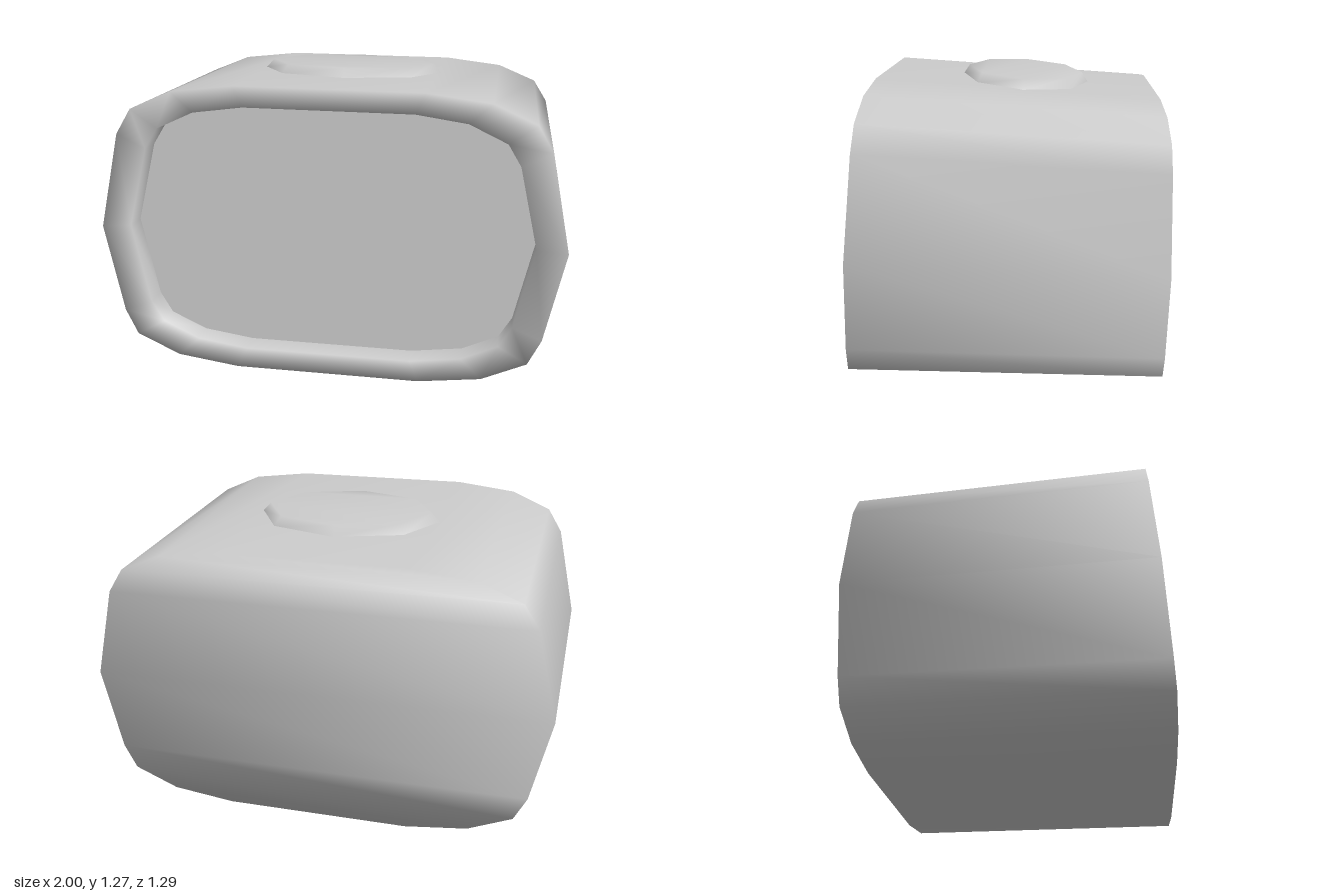
import * as THREE from 'three';

const TILT = 0.064; // backward lean of the front face
const frontZ = (y) => 0.645 - TILT * y;

// Right half of the rim outlines, bottom to top, as [x, y]
const OUTER = [[0.4, 0], [0.67, 0.035], [0.86, 0.12], [0.915, 0.23], [1, 0.615],
  [0.915, 1.03], [0.85, 1.14], [0.67, 1.22], [0.4, 1.253]];
const INNER = [[0.36, 0.09], [0.58, 0.12], [0.735, 0.19], [0.79, 0.28], [0.87, 0.625],
  [0.79, 0.97], [0.735, 1.06], [0.575, 1.135], [0.36, 1.165]];

// Mirror a half outline into a closed loop and place it in space
function loop(half, place) {
  const all = [...half, ...half.map(([x, y]) => [-x, y]).reverse()];
  return all.map(([x, y]) => place(x, y));
}

// Skin a list of rings with shared, smooth normals; caps are optional
function loft(rings, capStart, capEnd) {
  const n = rings[0].length;
  const index = [];
  for (let r = 0; r < rings.length - 1; r++) {
    for (let i = 0; i < n; i++) {
      const a = r * n + i, b = r * n + (i + 1) % n;
      index.push(a, b, b + n, a, b + n, a + n);
    }
  }
  const cap = (base, flip) => {
    const tri = (a, b, c) => index.push(base + a, base + (flip ? c : b), base + (flip ? b : c));
    let lo = 0, hi = n - 1;
    while (hi - lo > 1) {
      tri(lo, lo + 1, hi);
      lo++;
      if (hi - lo > 1) {
        tri(lo, hi - 1, hi);
        hi--;
      }
    }
  };
  if (capStart) cap(0, true);
  if (capEnd) cap((rings.length - 1) * n, false);
  const geometry = new THREE.BufferGeometry();
  geometry.setAttribute('position', new THREE.Float32BufferAttribute(rings.flat(2), 3));
  geometry.setIndex(index);
  geometry.computeVertexNormals();
  return geometry;
}

export function createModel() {
  const group = new THREE.Group();
  const material = new THREE.MeshStandardMaterial({ color: 0xcccccc });
  const add = (name, geometry) => {
    const mesh = new THREE.Mesh(geometry, material);
    mesh.name = name;
    group.add(mesh);
  };

  // Casing: back panel, sides, front rim and the recess wall
  const depth = 0.11;
  const back = loop(OUTER, (x, y) => [x, y * 0.934, -0.645]);
  const rim = loop(OUTER, (x, y) => [x, y, frontZ(y)]);
  const lip = loop(INNER, (x, y) => [x, y, frontZ(y)]);
  const recess = loop(INNER, (x, y) => [x, y - depth * TILT, frontZ(y) - depth]);
  add('casing', loft([back, rim, lip, recess], true, false));

  // Flat screen at the bottom of the recess
  add('screen', loft([recess], false, true));

  // Eight-sided raised pad following the slope of the top
  const padRing = (rx, rz, lift) => Array.from({ length: 8 }, (_, i) => {
    const t = i * Math.PI / 4;
    const z = -0.063 + rz * Math.cos(t);
    return [rx * Math.sin(t), 1.212 + 0.066 * (z + 0.063) + lift, z];
  });
  add('topPad', loft([padRing(0.415, 0.288, -0.005), padRing(0.375, 0.26, 0.038)], false, true));

  return group;
}
